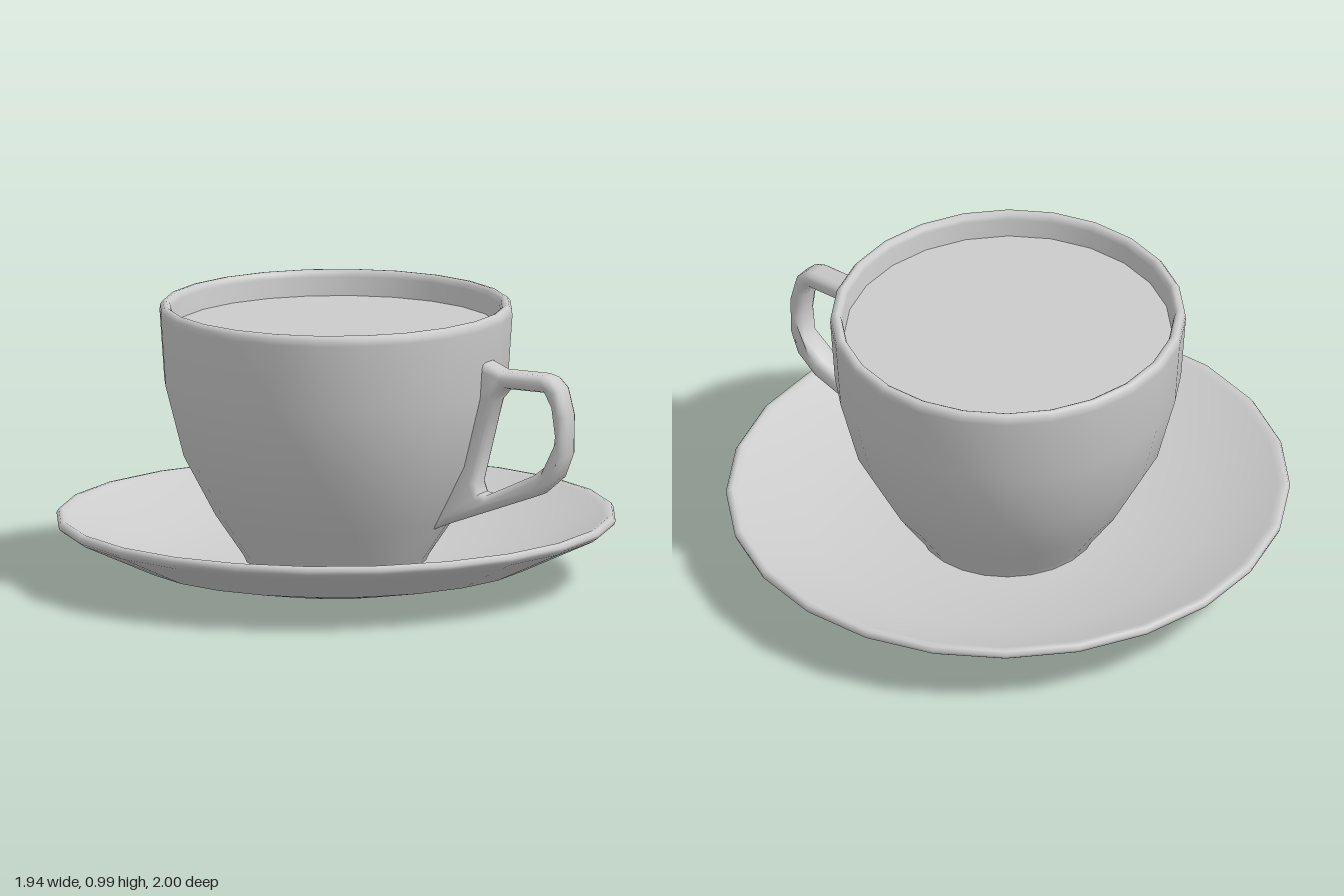
import * as THREE from 'three';
import { mergeVertices, toCreasedNormals } from 'three/addons/utils/BufferGeometryUtils.js';

const SIDES = 24;
const STEP = (Math.PI * 2) / SIDES;
const grey = new THREE.MeshStandardMaterial({ color: 0xcccccc });
const vectors = (pts) => pts.map(([x, y]) => new THREE.Vector2(x, y));

function addMesh(parent, name, geometry) {
  const mesh = new THREE.Mesh(geometry, grey);
  mesh.name = name;
  parent.add(mesh);
  return mesh;
}

// Turned part, rotated half a side so flats face the axes
const turned = (profile) => new THREE.LatheGeometry(vectors(profile), SIDES, STEP / 2);

// Horizontal disc matching the turned parts, facing up or down
function disc(radius, y, up) {
  const g = new THREE.CircleGeometry(radius, SIDES, STEP / 2);
  g.rotateX(up ? -Math.PI / 2 : Math.PI / 2);
  g.translate(0, y, 0);
  return g;
}

export function createModel() {
  const model = new THREE.Group();
  model.name = 'cupAndSaucer';

  // Saucer: shallow dish with a thin rounded rim and flat foot
  const saucer = new THREE.Group();
  saucer.name = 'saucer';
  saucer.scale.x = 0.972;
  model.add(saucer);
  addMesh(saucer, 'saucerDish', turned([
    [0.36, 0], [0.715, 0.075], [0.985, 0.198], [1.004, 0.212], [1.008, 0.225],
    [1.0, 0.238], [0.985, 0.24], [0.965, 0.232], [0.71, 0.125], [0.36, 0.075], [0, 0.07],
  ]));
  addMesh(saucer, 'saucerFoot', disc(0.36, 0, false));

  // Cup: tapered bowl with a rounded lip, filled near the top
  const cup = new THREE.Group();
  cup.name = 'cup';
  cup.scale.x = 0.98;
  model.add(cup);
  addMesh(cup, 'cupBowl', turned([
    [0.32, 0.07], [0.335, 0.1], [0.435, 0.245], [0.55, 0.46], [0.615, 0.71], [0.632, 0.955],
    [0.63, 0.975], [0.62, 0.988], [0.607, 0.99], [0.595, 0.982], [0.59, 0.965], [0.578, 0.86],
  ]));
  addMesh(cup, 'cupBase', disc(0.32, 0.07, false));
  addMesh(cup, 'drinkSurface', disc(0.583, 0.9, true));

  // Handle: closed loop with bevelled edges, its inner side sunk in the bowl
  const outline = new THREE.Shape(vectors([
    [0.38, 0.21], [0.46, 0.245], [0.82, 0.38], [0.895, 0.445], [0.928, 0.53], [0.93, 0.67],
    [0.905, 0.765], [0.87, 0.8], [0.835, 0.81], [0.67, 0.81], [0.61, 0.835], [0.56, 0.84],
    [0.55, 0.7], [0.48, 0.45],
  ]));
  outline.holes.push(new THREE.Path(vectors([
    [0.585, 0.365], [0.572, 0.4], [0.648, 0.7], [0.69, 0.75], [0.842, 0.75], [0.87, 0.7],
    [0.884, 0.6], [0.875, 0.51], [0.8, 0.45], [0.61, 0.36],
  ])));
  const bevel = 0.022;
  const loop = new THREE.ExtrudeGeometry(outline, {
    depth: 0.1 - 2 * bevel, bevelEnabled: true, bevelThickness: bevel,
    bevelSize: bevel, bevelOffset: -bevel, bevelSegments: 2,
  });
  loop.translate(0, 0, bevel - 0.05);
  loop.deleteAttribute('uv');
  loop.deleteAttribute('normal');
  addMesh(model, 'handle', toCreasedNormals(mergeVertices(loop, 1e-4), 0.9));

  return model;
}
